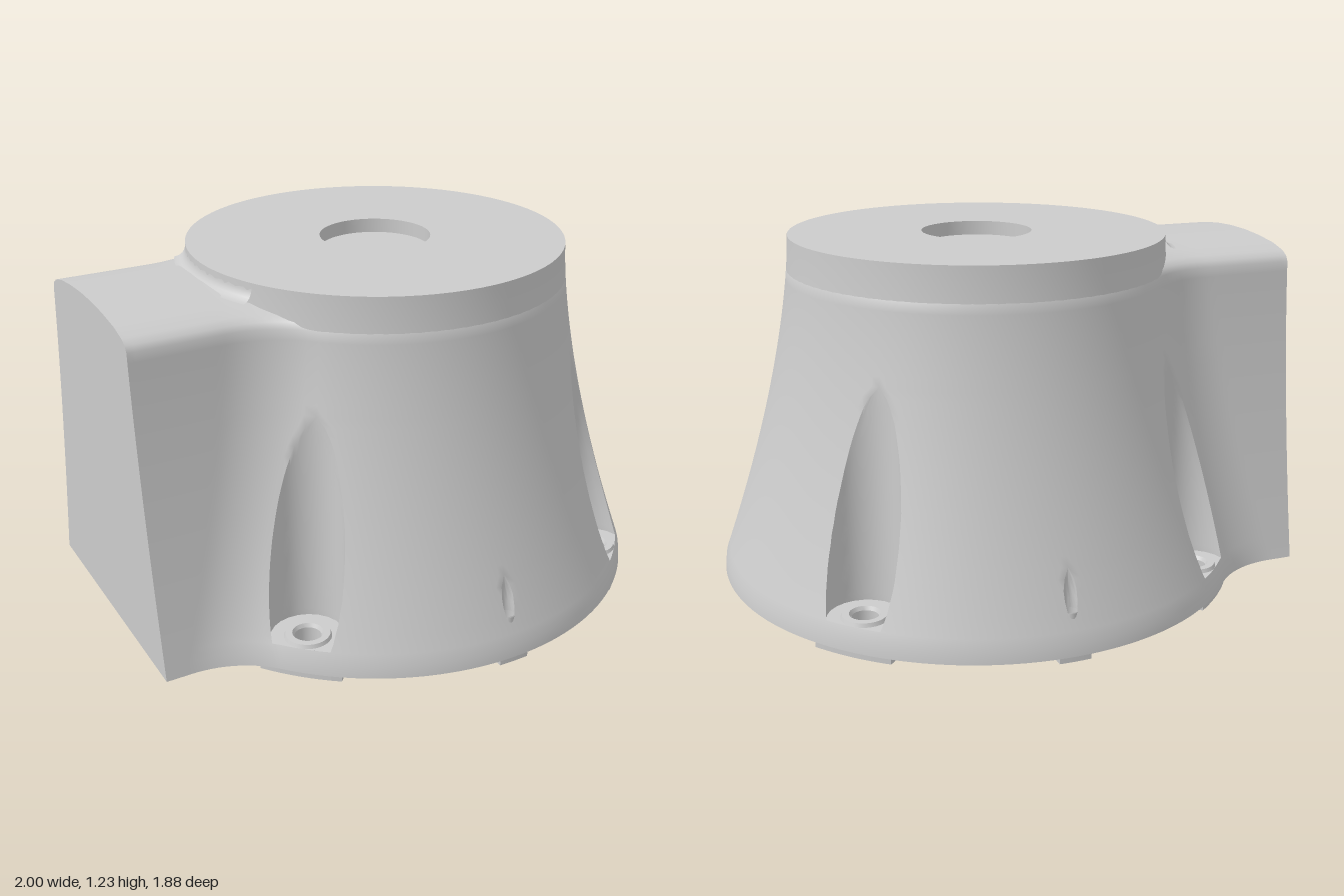
import * as THREE from 'three';
import { mergeGeometries, toCreasedNormals } from 'three/addons/utils/BufferGeometryUtils.js';

const AX = 0.06, TOP = 1.23, BASE = 0.02, EAVE = 1.11;
const lerp = THREE.MathUtils.lerp;
const fall = y => Math.max(0, (TOP - y) / 1.21);
const bodyRadius = y => Math.min(0.94, 0.665 + 0.285 * fall(y) ** 1.55);
const neckWidth = y => 0.35 + 0.15 * fall(y) ** 1.5;

// vertical round cuts on the +z half, in order from the neck round to +x
const CUTS = [
  { x: -0.535, z: 0.595, r: 0.125, floor: 0.1, n: 16, bore: 0.045 },
  { x: AX, z: 0.885, r: 0.024, floor: 0.155, n: 12, bore: 0.024 },
  { x: 0.655, z: 0.595, r: 0.125, floor: 0.1, n: 16, bore: 0.045 },
];

// half outline at height y, shrunk by d: end face, neck side, fillet, body arc
function outline(y, d) {
  const w = neckWidth(y) - d, r = bodyRadius(y) - d, R = 0.35 + d;
  const cz = w + R, cx = -Math.sqrt((r + R) ** 2 - cz * cz);
  const a = Math.atan2(cz, cx);
  return u => {
    if (u <= 1) return [-1, w * u];
    if (u <= 2) return [lerp(-1, AX + cx, u - 1), w];
    if (u <= 3) {
      const t = lerp(-Math.PI / 2, a - Math.PI, u - 2);
      return [AX + cx + R * Math.cos(t), cz + R * Math.sin(t)];
    }
    const t = lerp(a, 0, u - 3);
    return [AX + r * Math.cos(t), r * Math.sin(t)];
  };
}

// where a cut enters and leaves the outline (equal if it misses)
function cutRange(P, c) {
  let first = null, last = null, near = 1, best = Infinity;
  for (let i = 0; i <= 3000; i++) {
    const u = 1 + i / 1000, p = P(u);
    const dist = Math.hypot(p[0] - c.x, p[1] - c.z);
    if (dist < best) { best = dist; near = u; }
    if (dist < c.r) { first ??= u; last = u; }
  }
  return first === null ? [near, near] : [first, last];
}

// arc of the cut on its inner side, from outline point A to B
function notch(P, c, [ua, ub]) {
  const mid = Math.atan2(-c.z, AX - c.x);
  const rel = u => {
    const p = P(u), t = Math.atan2(p[1] - c.z, p[0] - c.x) - mid;
    return Math.atan2(Math.sin(t), Math.cos(t));
  };
  const a = rel(ua), b = rel(ub), pts = [];
  for (let i = 0; i <= c.n; i++) {
    const t = mid + lerp(a, b, i / c.n);
    pts.push(i === 0 ? P(ua) : i === c.n ? P(ub) : [c.x + c.r * Math.cos(t), c.z + c.r * Math.sin(t)]);
  }
  return pts;
}

function run(P, a, b, n) {
  return Array.from({ length: n + 1 }, (_, i) => P(lerp(a, b, i / n)));
}

// full closed section; cuts are open only from level `from` upwards
function section(y, d, from) {
  const P = outline(y, d), pts = [P(0)];
  let u = 1;
  CUTS.forEach(c => {
    const range = cutRange(P, c);
    pts.push(...run(P, u, range[0], 24));
    const open = c.floor <= from + 1e-6 && range[1] > range[0];
    pts.push(...(open ? notch(P, c, range) : run(P, range[0], range[1], c.n)));
    u = range[1];
  });
  pts.push(...run(P, u, 4, 20));
  const back = pts.slice(1, -1).reverse().map(([x, z]) => [x, -z]);
  return pts.concat(back);
}

// skin over a list of [y, shrink] levels
function band(levels) {
  const pos = [], idx = [];
  const rings = levels.map(([y, d]) => section(y, d, levels[0][0]));
  const n = rings[0].length;
  rings.forEach((ring, k) => ring.forEach(([x, z]) => pos.push(x, levels[k][0], z)));
  for (let k = 0; k + 1 < rings.length; k++) {
    for (let i = 0; i < n; i++) {
      const a = k * n + i, b = k * n + (i + 1) % n;
      idx.push(a, b, a + n, b, b + n, a + n);
    }
  }
  const g = new THREE.BufferGeometry();
  g.setAttribute('position', new THREE.Float32BufferAttribute(pos, 3));
  g.setIndex(idx);
  return g;
}

// horizontal shape from [x, z] points, with round holes [x, z, r]
function planShape(pts, holes = [], sign = -1) {
  const clean = pts.filter((p, i) => {
    const q = pts[(i + 1) % pts.length];
    return Math.hypot(p[0] - q[0], p[1] - q[1]) > 1e-5;
  });
  const s = new THREE.Shape(clean.map(([x, z]) => new THREE.Vector2(x, sign * z)));
  holes.forEach(([x, z, r]) => s.holes.push(new THREE.Path().absarc(x, sign * z, r, 0, Math.PI * 2, true)));
  return s;
}
function plate(pts, holes, y, down = false) {
  const g = new THREE.ShapeGeometry(planShape(pts, holes, down ? 1 : -1), 12);
  return g.rotateX(down ? Math.PI / 2 : -Math.PI / 2).translate(0, y, 0);
}

// foot pad: rounded towards the axis, running out to the rim
function footGeometry(c, half) {
  const dx = c.x - AX, len = Math.hypot(dx, c.z), n = [dx / len, c.z / len], pts = [];
  const add = (s, o) => pts.push([AX + n[0] * s - n[1] * o, n[1] * s + n[0] * o]);
  for (let i = 0; i <= 16; i++) {
    const t = Math.PI * i / 16;
    add(len - half * Math.sin(t), half * Math.cos(t));
  }
  for (let i = 0; i <= 8; i++) {
    const o = lerp(-half, half, i / 8);
    add(Math.sqrt(0.935 ** 2 - o * o), o);
  }
  const g = new THREE.ExtrudeGeometry(planShape(pts, [[c.x, c.z, c.bore]]), { depth: BASE, bevelEnabled: false });
  return g.rotateX(-Math.PI / 2);
}

export function createModel() {
  const model = new THREE.Group();
  const mat = new THREE.MeshStandardMaterial({ color: 0xcccccc, side: THREE.DoubleSide });
  const add = (g, name, parent = model) => {
    const m = new THREE.Mesh(g, mat);
    m.name = name;
    parent.add(m);
    return m;
  };

  // flared housing wall with its side neck and arched neck roof
  const wall = [];
  for (let i = 0; i <= 28; i++) wall.push([lerp(0.155, EAVE, i / 28), 0]);
  wall.push([1.13, 0.01], [1.145, 0.035], [1.162, 0.1], [1.174, 0.2], [1.18, 0.3]);
  const skin = mergeGeometries([
    band([[BASE, 0], [0.06, 0], [0.1, 0]]),
    band([[0.1, 0], [0.125, 0], [0.155, 0]]),
    band(wall),
  ]);
  add(toCreasedNormals(skin, 0.6), 'housingWall');
  add(plate(section(1.18, 0.3, 0), [], 1.18), 'neckRoofRidge');

  // upper collar, flat top and round recess
  const profile = [[bodyRadius(EAVE), EAVE], [bodyRadius(1.17), 1.17], [0.665, TOP],
    [0.195, TOP], [0.195, 1.13], [0, 1.13]].map(p => new THREE.Vector2(...p));
  const collar = toCreasedNormals(new THREE.LatheGeometry(profile, 80), 0.6);
  add(collar, 'topCollar').position.x = AX;

  // fillet between the neck roof and the collar
  const fillet = [];
  for (let i = 0; i <= 6; i++) {
    const t = Math.PI / 2 * i / 6;
    fillet.push(new THREE.Vector2(0.705 - 0.04 * Math.sin(t), 1.215 - 0.045 * Math.cos(t)));
  }
  const span = 0.42;
  add(new THREE.LatheGeometry(fillet, 16, -Math.PI / 2 - span, 2 * span), 'neckFillet').position.x = AX;

  // underside with bolt holes
  const holes = CUTS.flatMap(c => [[c.x, c.z, c.bore], [c.x, -c.z, c.bore]]);
  add(plate(section(BASE, 0, 0), holes, BASE, true), 'underside');

  // bolt pockets, bores and feet, mirrored front to back
  for (const side of [1, -1]) {
    CUTS.forEach(cut => {
      const c = { ...cut, z: cut.z * side };
      const big = c.r > 0.1;
      const bore = new THREE.CylinderGeometry(c.bore, c.bore, c.floor, 24, 1, true);
      add(bore, 'boltBore').position.set(c.x, c.floor / 2, c.z);
      add(footGeometry(c, big ? 0.14 : 0.055), 'footPad');
      if (!big) return;
      const P = outline(c.floor, 0), range = cutRange(P, cut);
      const rim = run(P, range[1], range[0], 12).slice(1, -1);
      const pts = notch(P, cut, range).concat(rim).map(([x, z]) => [x, z * side]);
      add(plate(pts, [[c.x, c.z, c.bore]], c.floor), 'pocketFloor');
      const ring = [[0.08, 0.1], [0.075, 0.113], [0.052, 0.113], [0.045, 0.1]];
      const seat = new THREE.LatheGeometry(ring.map(p => new THREE.Vector2(...p)), 32);
      add(toCreasedNormals(seat, 0.5), 'boltSeat').position.set(c.x, 0, c.z);
    });
  }
  return model;
}
